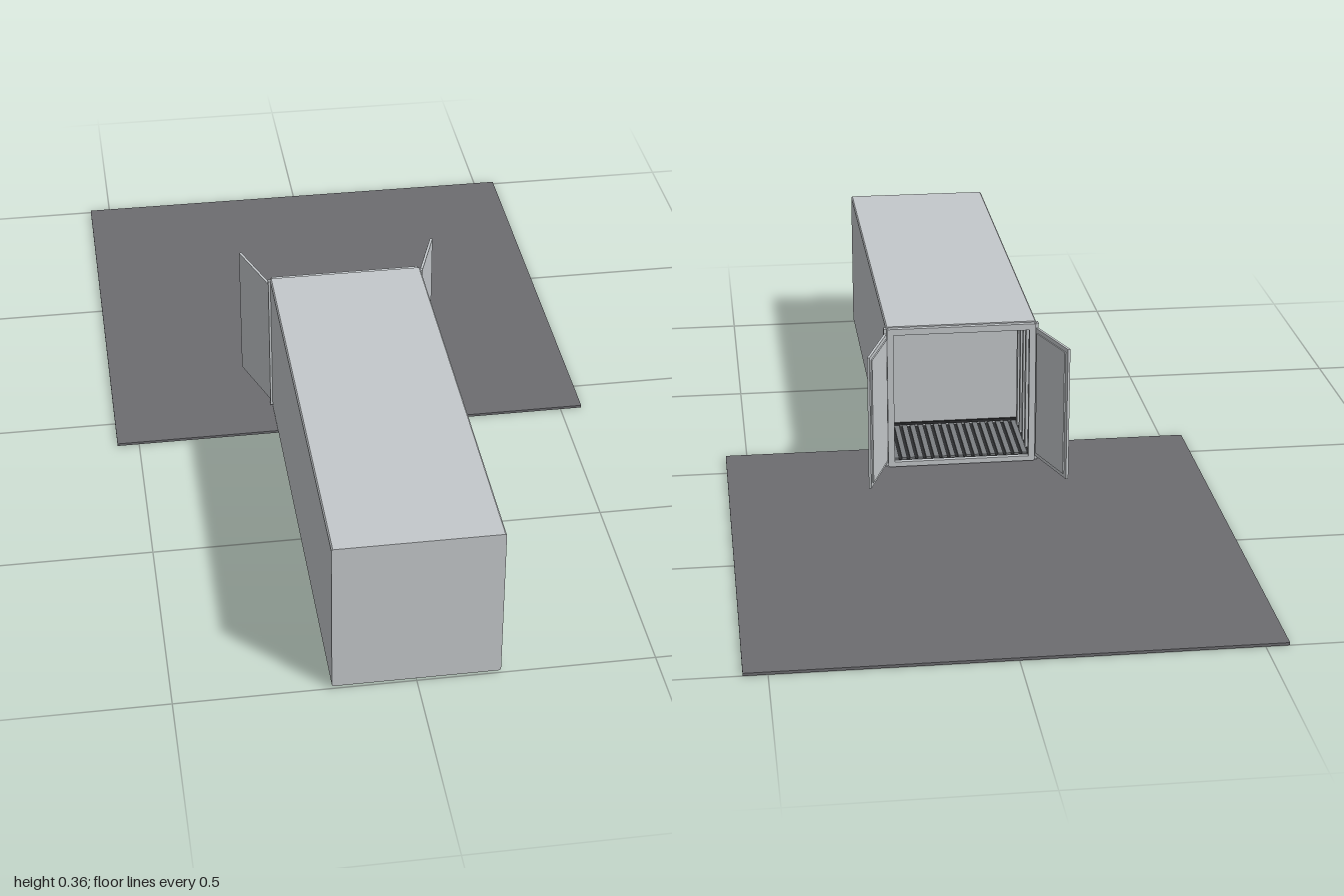
import * as THREE from 'three';

export function createModel() {
  const root = new THREE.Group();
  const mat = (name, color, side = THREE.FrontSide) =>
    Object.assign(new THREE.MeshStandardMaterial({ color, side }), { name });
  const steel = mat('light grey steel', 0xc4c8cb);
  const ground = mat('dark grey paving', 0x6c6c70);
  const floorMetal = mat('floor grey', 0x7c7f82);
  const rubber = mat('seal black', 0x2c2d2f);

  const add = (name, geo, material, x = 0, y = 0, z = 0, parent = root) => {
    const mesh = new THREE.Mesh(geo, material);
    mesh.name = name;
    mesh.position.set(x, y, z);
    parent.add(mesh);
    return mesh;
  };
  const box = (name, w, h, d, material, x, y, z, parent) =>
    add(name, new THREE.BoxGeometry(w, h, d), material, x, y, z, parent);

  // Cross-section with clipped corners; optional rectangular opening
  const section = (w, y0, y1, c, hole) => {
    const s = new THREE.Shape([
      [-w + c, y0], [w - c, y0], [w, y0 + c], [w, y1 - c],
      [w - c, y1], [-w + c, y1], [-w, y1 - c], [-w, y0 + c],
    ].map(([x, y]) => new THREE.Vector2(x, y)));
    if (hole) {
      const [hw, h0, h1] = hole;
      s.holes.push(new THREE.Path([[-hw, h0], [-hw, h1], [hw, h1], [hw, h0]]
        .map(([x, y]) => new THREE.Vector2(x, y))));
    }
    return s;
  };
  const extrude = (shape, depth) =>
    new THREE.ExtrudeGeometry(shape, { depth, bevelEnabled: false });

  // Ground slab
  box('groundSlab', 1.1, 0.006, 1.09, ground, 0, 0.003, -0.455);

  // Container: closed front length and hollow rear bay
  const BULKHEAD = 0.19;
  add('containerBody', extrude(section(0.175, 0.006, 0.356, 0.003), 1 - BULKHEAD), steel, 0, 0, BULKHEAD);
  add('rearBay', extrude(section(0.175, 0.006, 0.356, 0.003, [0.163, 0.018, 0.345]), BULKHEAD + 0.02),
    steel, 0, 0, -0.02);
  add('doorFrame', extrude(section(0.173, 0.01, 0.353, 0.003, [0.158, 0.022, 0.338]), 0.012),
    steel, 0, 0, -0.031);

  // Ribbed floor, running lengthwise
  const bay = new THREE.Group();
  bay.name = 'bayInterior';
  root.add(bay);
  box('floorBase', 0.326, 0.002, 0.2, rubber, 0, 0.019, 0.088, bay);
  for (let i = 0; i < 17; i++)
    box('floorBar', 0.012, 0.005, 0.2, floorMetal, -0.152 + i * 0.019, 0.0215, 0.088, bay);

  // Wall ribs on both sides, and the seal at the bulkhead foot
  for (const side of [-1, 1])
    for (let i = 0; i < 4; i++)
      box('wallRib', 0.006, 0.318, 0.018, steel, side * 0.16, 0.183, 0.025 + i * 0.045, bay);
  box('bulkheadSeal', 0.32, 0.006, 0.005, rubber, 0, 0.028, 0.187, bay);

  // Mirrored doors, swung open past straight
  for (const side of [-1, 1]) {
    const door = new THREE.Group();
    door.name = side > 0 ? 'leftDoor' : 'rightDoor';
    door.position.set(side * 0.176, 0, -0.022);
    door.rotation.y = -side * 0.335;
    root.add(door);
    box('doorPanel', 0.006, 0.32, 0.158, steel, 0, 0.18, -0.079, door);
    // raised inner lining
    box('doorLining', 0.003, 0.3, 0.136, steel, -side * 0.0045, 0.18, -0.079, door);
    // hinge post standing proud of the body corner
    box('hingePost', 0.007, 0.342, 0.012, steel, side * 0.1765, 0.181, -0.018);
  }
  return root;
}
